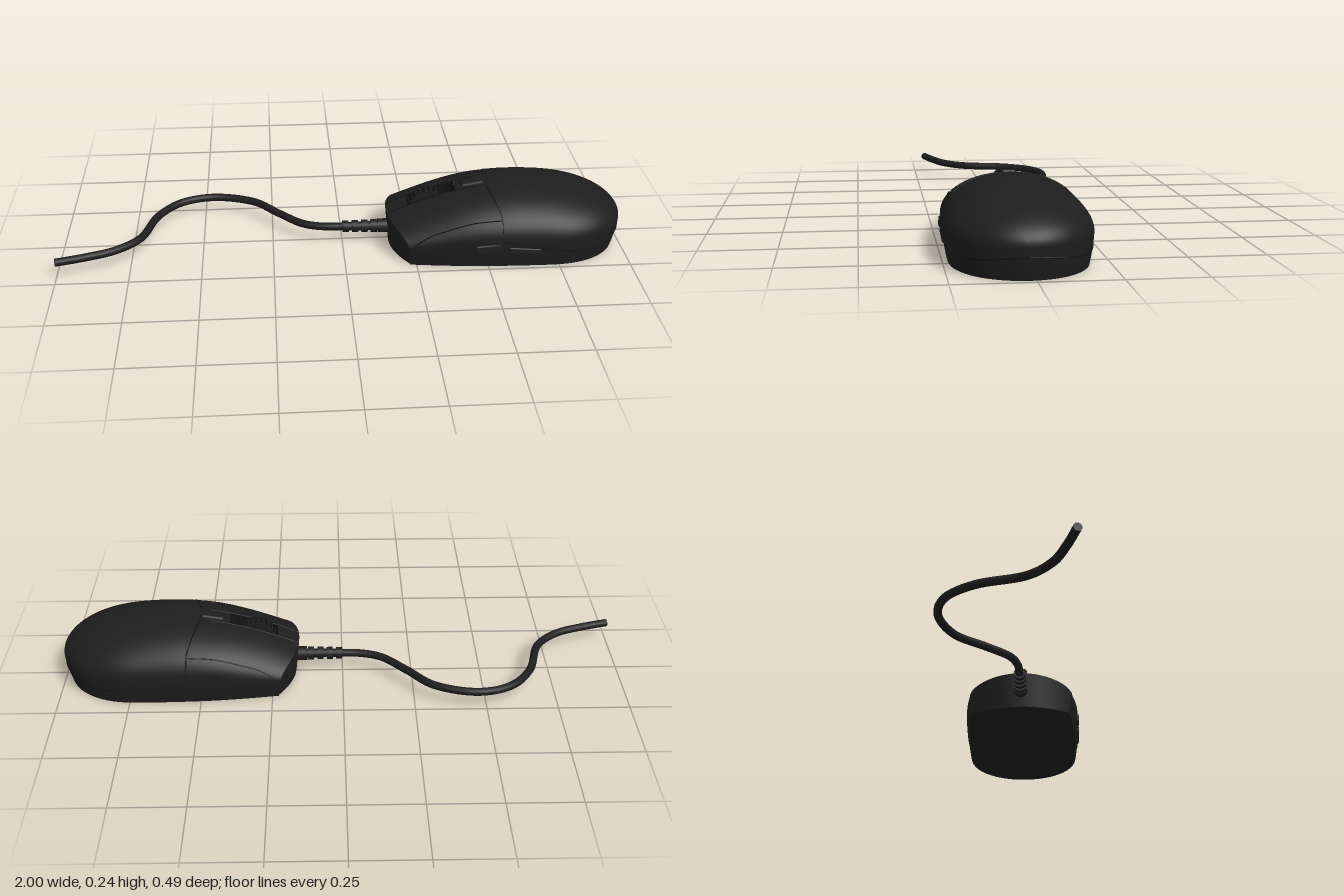
import * as THREE from 'three';
import { RoundedBoxGeometry } from 'three/addons/geometries/RoundedBoxGeometry.js';

const CZ = 0.02;            // centre line of the mouse body
const X0 = 0.155, SLOT0 = 0.23, SLOT1 = 0.4, SPLIT = 0.53;

// Body rules along x: half width, crown height, height of the widest line
const halfWidth = x => x > 0.72
  ? 0.225 * Math.sqrt(Math.max(0, 1 - ((x - 0.72) / 0.28) ** 2.3))
  : 0.225 - 0.035 * ((0.72 - x) / 0.565) ** 2;
const waist = x => 0.07 + 0.03 * THREE.MathUtils.smoothstep(x, X0, 0.5);
const crown = x => x > 0.6
  ? waist(x) + (0.24 - waist(x)) * Math.sqrt(Math.max(0, 1 - ((x - 0.6) / 0.4) ** 1.95))
  : 0.24 - 0.11 * ((0.6 - x) / 0.445) ** 1.85;
const slotAngle = x => Math.asin(0.036 / Math.max(halfWidth(x), 0.1));

// Sweeps the sides of the nose back in plan
function bend(x, z) {
  const fade = Math.max(0, 1 - (x - X0) / 0.3);
  return x + 0.065 * fade * (z / 0.19) ** 2;
}
// Upper surface by angle from the crown, lower wall by drop k (0 waist, 1 base)
function upper(x, a) {
  const z = halfWidth(x) * Math.sin(a), w = waist(x);
  return new THREE.Vector3(bend(x, z), w + (crown(x) - w) * Math.cos(a), CZ + z);
}
function lower(x, k, side) {
  const z = side * halfWidth(x), bx = bend(x, z), q = k ** 1.5;
  const shrink = bx > 0.6 ? 0.045 : 0.02;
  return new THREE.Vector3(0.6 + (bx - 0.6) * (1 - shrink * q), waist(x) * (1 - k), CZ + z * (1 - 0.055 * q));
}
function sidePoint(x, y, side) {
  const w = waist(x);
  return y > w
    ? upper(x, side * Math.acos(Math.min(1, (y - w) / (crown(x) - w))))
    : lower(x, 1 - y / w, side);
}

function geometry(points, index) {
  const g = new THREE.BufferGeometry().setFromPoints(points);
  g.setIndex(index);
  g.computeVertexNormals();
  return g;
}

export function createModel() {
  const root = new THREE.Group();
  root.name = 'computerMouse';
  const shell = new THREE.MeshStandardMaterial({ color: 0x1d1d1d });
  const dark = new THREE.MeshStandardMaterial({ color: 0x111111 });
  const lining = new THREE.MeshStandardMaterial({ color: 0x141414, side: THREE.DoubleSide });
  const add = (name, geo, mat, parent = root) => {
    const m = new THREE.Mesh(geo, mat);
    m.name = name;
    parent.add(m);
    return m;
  };

  // Stations along x, denser at the rounded tail
  const xs = [];
  for (let i = 0; i <= 2; i++) xs.push(X0 + (SLOT0 - X0) * i / 2);
  for (let i = 1; i <= 5; i++) xs.push(SLOT0 + (SLOT1 - SLOT0) * i / 5);
  for (let i = 1; i <= 3; i++) xs.push(SLOT1 + (SPLIT - SLOT1) * i / 3);
  for (let i = 1; i <= 36; i++) xs.push(SPLIT + (1 - SPLIT) * Math.sin(Math.PI / 2 * i / 36));

  // Cross-section from the +z base over the crown to the -z base
  const LOW = 5, TOP = 14;
  const section = x => {
    const p = [], s = slotAngle(x);
    for (let k = LOW; k > 0; k--) p.push(lower(x, k / LOW, 1));
    for (let j = 0; j <= TOP; j++) p.push(upper(x, Math.PI / 2 + (s - Math.PI / 2) * j / TOP));
    p.push(upper(x, 0));
    for (let j = 0; j <= TOP; j++) p.push(upper(x, -s - (Math.PI / 2 - s) * j / TOP));
    for (let k = 1; k <= LOW; k++) p.push(lower(x, k / LOW, -1));
    return p;
  };
  const rows = xs.map(section), n = rows[0].length;
  const mid = LOW + TOP;    // column of the +z slot edge

  // One smooth skin, divided into its parts
  const parts = { lowerShell: [], leftButton: [], rightButton: [], centreStrip: [], palmRest: [] };
  const all = [];
  for (let i = 0; i < xs.length - 1; i++) for (let v = 0; v < n - 1; v++) {
    const a = i * n + v, b = a + n;
    const quad = [a, b, a + 1, b, b + 1, a + 1];
    all.push(...quad);
    const centre = v === mid || v === mid + 1;
    const x = (xs[i] + xs[i + 1]) / 2;
    if (centre && x > SLOT0 && x < SLOT1) continue;
    const part = v < LOW || v >= n - 1 - LOW ? 'lowerShell'
      : x > SPLIT ? 'palmRest' : centre ? 'centreStrip' : v < mid ? 'leftButton' : 'rightButton';
    parts[part].push(...quad);
  }
  const skin = geometry(rows.flat(), all);
  for (const [name, index] of Object.entries(parts)) {
    const g = skin.clone();
    g.setIndex(index);
    add(name, g, shell);
  }

  // Nose wall and flat underside
  const nose = rows[0];
  const foot = nose.map((p, v) => v < LOW ? nose[0] : v >= n - LOW ? nose[n - 1]
    : new THREE.Vector3(p.x + 0.012, 0, CZ + (p.z - CZ) * 0.945));
  const noseIndex = [];
  for (let v = 0; v < n - 1; v++) noseIndex.push(v, v + 1, n + v, v + 1, n + v + 1, n + v);
  add('noseWall', geometry([...nose, ...foot], noseIndex), shell);
  const outline = [...rows.map(r => r[0]), ...rows.map(r => r[n - 1]).reverse().slice(1),
    ...foot.slice(LOW, n - LOW).reverse()];
  const under = new THREE.ShapeGeometry(new THREE.Shape(outline.map(p => new THREE.Vector2(p.x, p.z))));
  add('underside', under.rotateX(Math.PI / 2), shell);

  // Recess around the wheel
  const inSlot = rows.filter((r, i) => xs[i] > SLOT0 - 1e-6 && xs[i] < SLOT1 + 1e-6);
  const rim = [...inSlot.map(r => r[mid]), ...inSlot.map(r => r[mid + 2]).reverse()];
  const m = rim.length, wallIndex = [];
  for (let i = 0; i < m; i++) {
    const j = (i + 1) % m;
    wallIndex.push(i, j, m + i, j, m + j, m + i);
  }
  const floor = rim.map(p => new THREE.Vector3(p.x, 0.05, p.z));
  add('wheelRecess', geometry([...rim, ...floor], wallIndex), lining);
  const bed = add('wheelRecessFloor', new THREE.PlaneGeometry(SLOT1 - SLOT0, 0.072).rotateX(-Math.PI / 2), lining);
  bed.position.set((SLOT0 + SLOT1) / 2, 0.051, CZ);

  // Scroll wheel with raised treads
  const wheel = new THREE.Group();
  wheel.name = 'scrollWheel';
  wheel.position.set(0.308, 0.133, CZ);
  root.add(wheel);
  add('wheelCore', new THREE.CylinderGeometry(0.071, 0.071, 0.044, 40).rotateX(Math.PI / 2), shell, wheel);
  for (let i = 0; i < 24; i++) {
    const a = i / 24 * Math.PI * 2;
    const t = add('wheelTread', new THREE.BoxGeometry(0.008, 0.01, 0.034), dark, wheel);
    t.position.set(Math.cos(a) * 0.071, Math.sin(a) * 0.071, 0);
    t.rotation.z = a;
  }

  // Button behind the wheel and the two thumb buttons
  const modeButton = add('modeButton', new RoundedBoxGeometry(0.085, 0.022, 0.05, 4, 0.01), shell);
  modeButton.position.set(0.462, 0.224, CZ);
  modeButton.rotation.z = 0.17;
  for (const [x, y, len, tall, tilt] of [[0.497, 0.073, 0.095, 0.034, 0.06], [0.622, 0.063, 0.115, 0.026, -0.08]]) {
    const b = add('thumbButton', new RoundedBoxGeometry(len, tall, 0.014, 4, 0.006), shell);
    b.position.set(x, y, sidePoint(x, y, 1).z - 0.002);
    b.rotation.set(-0.06, 0, tilt);
  }

  // Panel seams
  const seam = (name, pts) => add(name,
    new THREE.TubeGeometry(new THREE.CatmullRomCurve3(pts), 64, 0.0022, 5), dark);
  for (const s of [1, -1]) {
    const cross = [];
    for (let i = 0; i <= 8; i++) {
      const a = 0.17 + 0.78 * i / 8;
      cross.push(upper(0.505 + 0.037 * i / 8, s * a));
    }
    cross.push(sidePoint(0.544, 0.15, s), sidePoint(0.545, 0.105, s));
    seam('buttonBackSeam', cross);
    seam('buttonLowerSeam', [[0.16, 0.06], [0.2, 0.09], [0.26, 0.115], [0.33, 0.135], [0.44, 0.16], [0.54, 0.17]]
      .map(([x, y]) => sidePoint(x, y, s)));
    seam('palmSeam', [[0.545, 0.105], [0.62, 0.088], [0.7, 0.072], [0.8, 0.055], [0.88, 0.05],
      [0.94, 0.055], [0.975, 0.062], [0.992, 0.067], [1, 0.07]].map(([x, y]) => sidePoint(x, y, s)));
    const strip = [];
    for (let x = X0; x <= 0.5; x += 0.035) strip.push(upper(x, s * slotAngle(x)));
    seam('centreSeam', strip);
  }

  // Cable with a ribbed strain relief
  const path = [[-1, 0.207], [-0.9, 0.178], [-0.8, 0.137], [-0.72, 0.06], [-0.665, -0.104], [-0.585, -0.2],
    [-0.468, -0.234], [-0.318, -0.19], [-0.227, -0.095], [-0.14, -0.01], [-0.07, 0.015], [0.01, 0.02]]
    .map(([x, z]) => new THREE.Vector3(x, 0.061, z));
  const curve = new THREE.CatmullRomCurve3(path);
  add('cable', new THREE.TubeGeometry(curve, 140, 0.014, 14), shell);
  const end = add('cableEnd', new THREE.CircleGeometry(0.014, 14), shell);
  end.position.copy(path[0]);
  end.lookAt(path[0].clone().sub(curve.getTangent(0)));
  const relief = new THREE.Group();
  relief.name = 'strainRelief';
  relief.position.set(0, 0.061, CZ);
  root.add(relief);
  const collar = (name, x, len, r) => {
    add(name, new THREE.CylinderGeometry(r, r, len, 20).rotateZ(Math.PI / 2), shell, relief).position.x = x;
  };
  collar('reliefCore', 0.085, 0.17, 0.016);
  for (let i = 0; i < 4; i++) collar('reliefRib', 0.012 + i * 0.034, 0.022, 0.021 + i * 0.001);
  collar('reliefBase', 0.148, 0.04, 0.025);

  return root;
}
